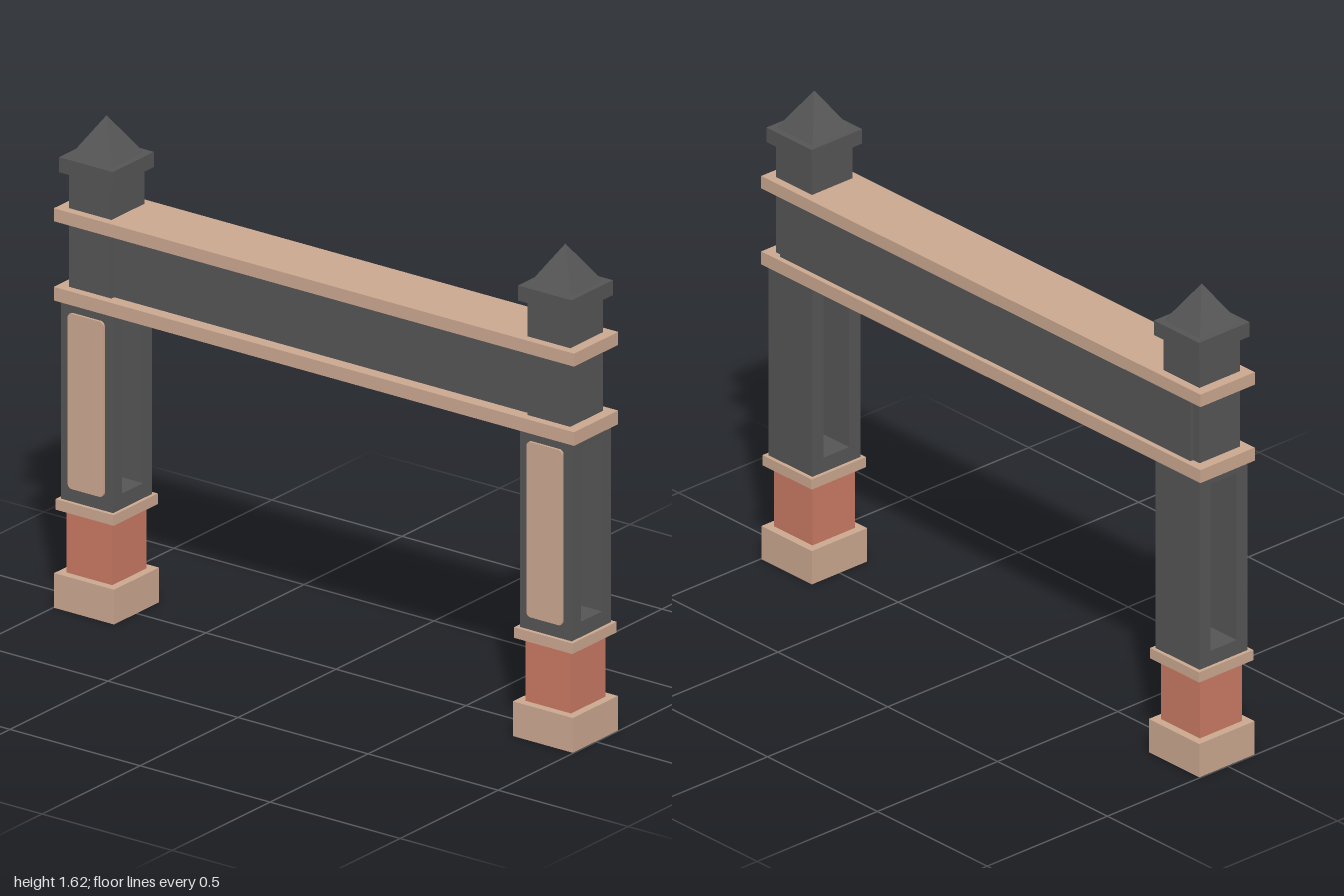
import * as THREE from 'three';

const material = (name, color, side = THREE.FrontSide) => {
  const m = new THREE.MeshStandardMaterial({ color, side });
  m.name = name;
  return m;
};

// Rectangle outline centred on cx, cy, with optional corner radius
function rect(Type, w, h, cx = 0, cy = 0, r = 0) {
  const p = new Type();
  const x = w / 2, y = h / 2;
  if (!r) {
    p.moveTo(cx - x, cy - y).lineTo(cx + x, cy - y).lineTo(cx + x, cy + y).lineTo(cx - x, cy + y).closePath();
    return p;
  }
  p.absarc(cx + x - r, cy + y - r, r, 0, Math.PI / 2);
  p.absarc(cx - x + r, cy + y - r, r, Math.PI / 2, Math.PI);
  p.absarc(cx - x + r, cy - y + r, r, Math.PI, Math.PI * 1.5);
  p.absarc(cx + x - r, cy - y + r, r, Math.PI * 1.5, Math.PI * 2);
  p.closePath();
  return p;
}

// Four-sided open tube or pyramid with flat faces, standing on y0
function foursided(topW, bottomW, y0, y1, open) {
  const k = Math.SQRT1_2;
  const g = new THREE.CylinderGeometry(topW * k, bottomW * k, y1 - y0, 4, 1, open)
    .rotateY(Math.PI / 4).translate(0, (y0 + y1) / 2, 0).toNonIndexed();
  g.computeVertexNormals();
  return g;
}

const box = (w, y0, y1, d, z = 0) =>
  new THREE.BoxGeometry(w, y1 - y0, d).translate(0, (y0 + y1) / 2, z);

export function createModel() {
  const charcoal = material('charcoal', 0x555555);
  const sand = material('sand stone', 0xcaa78f, THREE.DoubleSide);
  const brick = material('red brick', 0xc97963, THREE.DoubleSide);

  const model = new THREE.Group();
  model.name = 'gateway';
  const add = (parent, name, geometry, mat) => {
    const mesh = new THREE.Mesh(geometry, mat);
    mesh.name = name;
    parent.add(mesh);
  };

  // Ledge closing the hollow base around the brick
  const ledgeShape = rect(THREE.Shape, 0.23, 0.23);
  ledgeShape.holes.push(rect(THREE.Path, 0.175, 0.175));
  const ledge = new THREE.ExtrudeGeometry(ledgeShape, { depth: 0.008, bevelEnabled: false })
    .rotateX(-Math.PI / 2).translate(0, 0.107, 0);

  // Shaft with an opening running through it sideways
  const shaftShape = rect(THREE.Shape, 0.2, 0.655, 0, 0.6875);
  shaftShape.holes.push(rect(THREE.Path, 0.108, 0.575, 0, 0.6975));
  const shaft = new THREE.ExtrudeGeometry(shaftShape, { depth: 0.2, bevelEnabled: false })
    .translate(0, 0, -0.1).rotateY(Math.PI / 2);

  // Rounded panel on the front of the shaft
  const panel = new THREE.ExtrudeGeometry(rect(THREE.Shape, 0.137, 0.58, 0, 0.695, 0.015),
    { depth: 0.008, bevelEnabled: false, curveSegments: 4 }).translate(0, 0, 0.1);

  for (const side of [-1, 1]) {
    const post = new THREE.Group();
    post.name = side > 0 ? 'leftPost' : 'rightPost';
    post.position.x = side * 0.882;
    add(post, 'baseWalls', foursided(0.23, 0.23, 0, 0.115, true), sand);
    add(post, 'baseLedge', ledge, sand);
    add(post, 'brickPlinth', foursided(0.176, 0.176, 0.107, 0.325, true), brick);
    add(post, 'collar', box(0.224, 0.325, 0.36, 0.226), sand);
    add(post, 'shaft', shaft, charcoal);
    add(post, 'frontPanel', panel, sand);
    add(post, 'upperPost', box(0.164, 1.06, 1.44, 0.168), charcoal);
    add(post, 'capSlab', box(0.206, 1.44, 1.49, 0.21), charcoal);
    add(post, 'capPyramid', foursided(0, 0.165, 1.49, 1.62, false), charcoal);
    model.add(post);
  }

  // Beam: two ledges with a fascia between, set slightly towards the back
  add(model, 'lowerLedge', box(2, 1.015, 1.06, 0.226), sand);
  add(model, 'upperLedge', box(2, 1.277, 1.32, 0.226), sand);
  add(model, 'fascia', box(1.87, 1.06, 1.277, 0.165, -0.0125), charcoal);

  return model;
}
